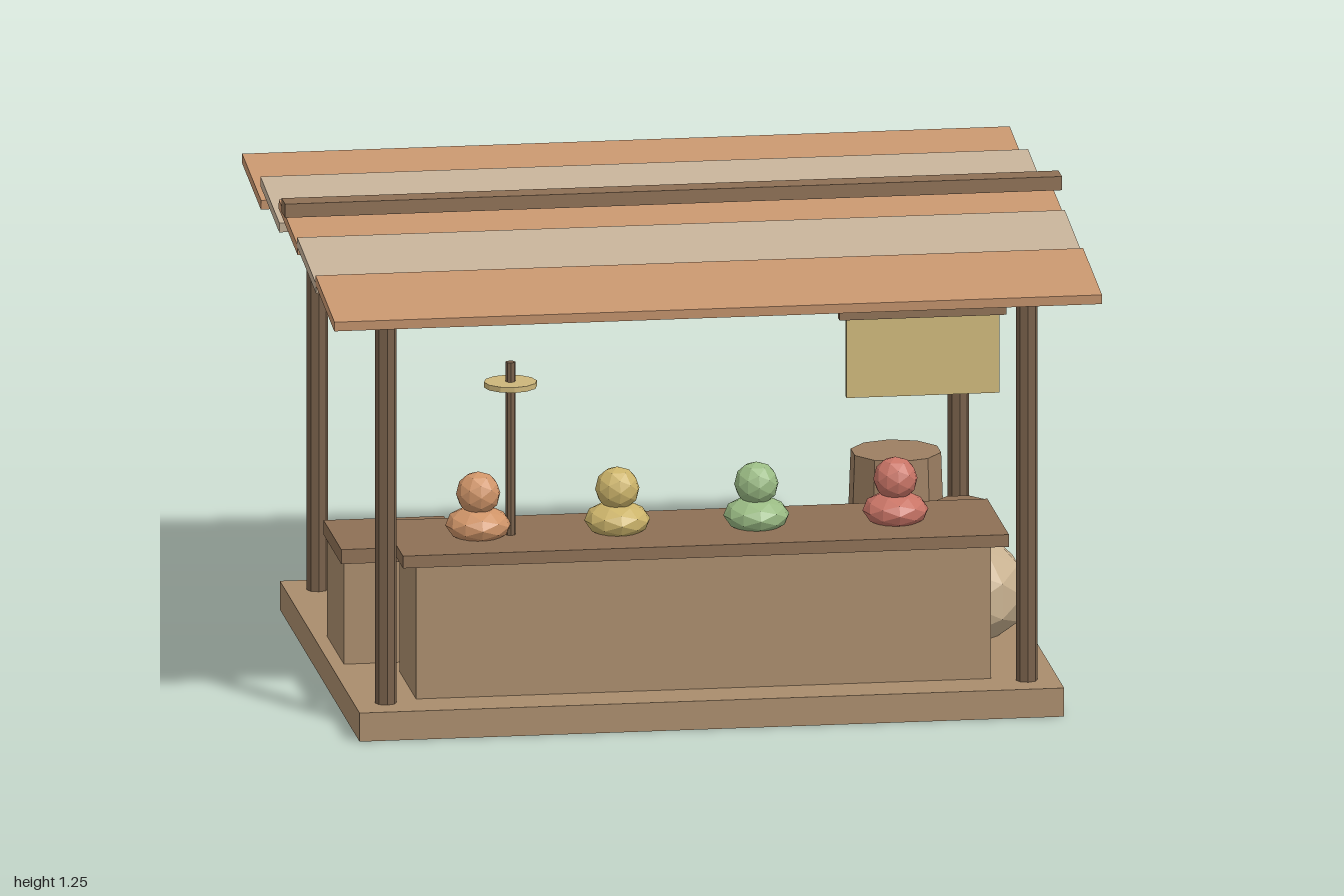
import * as THREE from 'three';

const mat = (color) => new THREE.MeshStandardMaterial({ color, flatShading: true, roughness: 0.9 });
const M = {
  wood: mat(0xa98c6c), trim: mat(0x8d7055), post: mat(0x77604a), barrel: mat(0x9c7f62),
  clay: mat(0xc8966f), tan: mat(0xc6b299), cloth: mat(0xccb67a), sack: mat(0xc9b291),
};

export function createModel() {
  const root = new THREE.Group();

  const add = (name, geo, material, x, y, z, parent = root) => {
    const m = new THREE.Mesh(geo, material);
    m.name = name;
    m.position.set(x, y, z);
    parent.add(m);
    return m;
  };
  // Box and cylinder given by bottom and top heights
  const box = (name, material, w, d, y0, y1, x, z, parent) =>
    add(name, new THREE.BoxGeometry(w, y1 - y0, d), material, x, (y0 + y1) / 2, z, parent);
  const cyl = (name, material, rTop, rBottom, sides, y0, y1, x, z, parent) =>
    add(name, new THREE.CylinderGeometry(rTop, rBottom, y1 - y0, sides), material, x, (y0 + y1) / 2, z, parent);
  const blob = (name, material, r, ry, x, y, z, parent) => {
    const m = add(name, new THREE.IcosahedronGeometry(r, 1), material, x, y, z, parent);
    m.scale.y = ry / r;
    return m;
  };
  const group = (name) => {
    const g = new THREE.Group();
    g.name = name;
    root.add(g);
    return g;
  };

  // Floor and corner posts
  box('floor', M.wood, 1.814, 1.4, 0, 0.075, 0, 0);
  for (const x of [-0.825, 0.825])
    for (const z of [-0.6, 0.6]) cyl('post', M.post, 0.028, 0.028, 8, 0.075, 1.147, x, z);

  // Roof of five tilted slats, with a ridge beam above
  const roof = group('roof');
  for (let i = -2; i <= 2; i++) {
    const y = 1.18 - 0.02 * Math.abs(i);
    const slat = add('roofSlat', new THREE.BoxGeometry(1.976, 0.025, 0.335),
      i % 2 ? M.tan : M.clay, 0, y, i * 0.3225, roof);
    slat.rotation.x = 0.12;
  }
  box('ridgeBeam', M.trim, 2, 0.063, 1.212, 1.248, 0, -0.004, roof);

  // Counter
  const counter = group('counter');
  box('counterBody', M.wood, 1.48, 0.295, 0.075, 0.43, -0.003, 0.427, counter);
  box('counterTop', M.trim, 1.56, 0.38, 0.43, 0.462, -0.003, 0.427, counter);

  // Goods piled on the counter
  const colors = [0xcf9468, 0xcbb36a, 0x9abb84, 0xc87466];
  colors.forEach((color, i) => {
    const pile = group('goodsPile');
    const x = -0.562 + i * 0.358;
    const material = mat(color);
    blob('pileBase', material, 0.085, 0.047, x, 0.492, 0.43, pile);
    blob('pileTop', material, 0.057, 0.057, x, 0.573, 0.43, pile);
  });

  // Weighing stand
  const scale = group('weighingStand');
  cyl('standRod', M.post, 0.013, 0.013, 8, 0.46, 0.915, -0.479, 0.43, scale);
  cyl('standPan', M.cloth, 0.068, 0.068, 12, 0.85, 0.864, -0.479, 0.43, scale);

  // Hanging banner
  const banner = group('banner');
  box('bannerCloth', M.cloth, 0.393, 0.02, 0.84, 1.045, 0.553, 0.624, banner);
  box('bannerBar', M.trim, 0.43, 0.032, 1.045, 1.07, 0.553, 0.622, banner);

  // Crate
  const crate = group('crate');
  box('crateBody', M.wood, 0.294, 0.296, 0.075, 0.34, -0.725, 0.039, crate);
  box('crateLid', M.trim, 0.31, 0.312, 0.34, 0.378, -0.725, 0.039, crate);

  // Sack with a flared neck
  const sack = group('sack');
  blob('sackBody', M.sack, 0.173, 0.15, 0.735, 0.18, 0.06, sack);
  cyl('sackNeck', M.trim, 0.064, 0.04, 7, 0.31, 0.413, 0.735, 0.06, sack);

  // Barrel
  const barrel = group('barrel');
  cyl('barrelBody', M.barrel, 0.117, 0.13, 10, 0.075, 0.427, 0.64, -0.435, barrel);
  cyl('barrelBand', M.trim, 0.137, 0.137, 10, 0.228, 0.257, 0.64, -0.435, barrel);

  return root;
}
